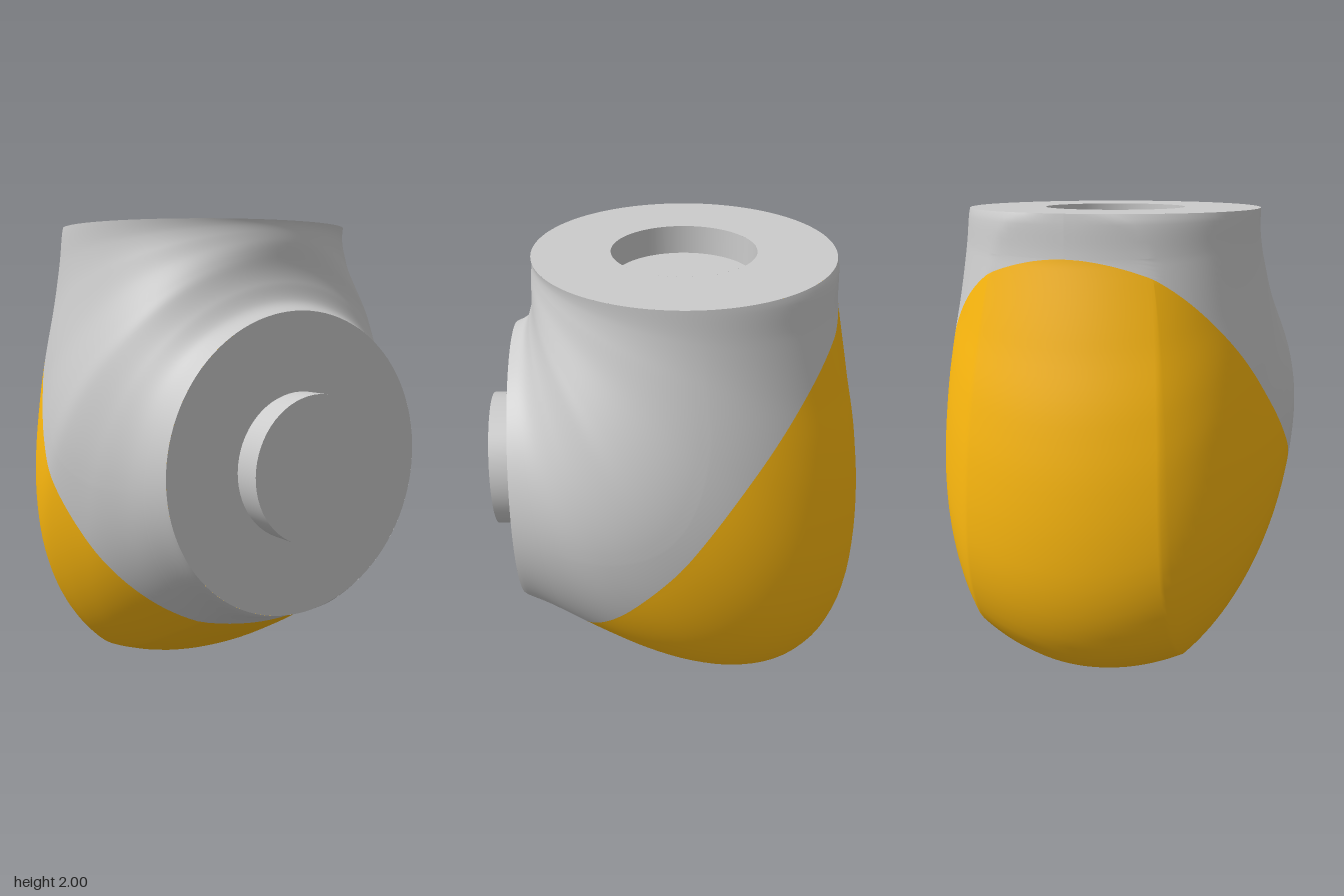
import * as THREE from 'three';

// Every cross-section lies in a plane turning about the x-parallel line y = PY, z = PZ,
// from the top opening (angle 0) to the front flange (angle 90 degrees).
const PY = 2, PZ = 0.7, END = Math.PI / 2;
const CAP = 0.61; // curvature of the back cap across its width

// Smooth curve through [t, value] keys
function curve(keys) {
  const slope = i => {
    const a = keys[Math.max(i - 1, 0)], b = keys[Math.min(i + 1, keys.length - 1)];
    return (b[1] - a[1]) / (b[0] - a[0]);
  };
  return t => {
    let i = 0;
    while (i < keys.length - 2 && t > keys[i + 1][0]) i++;
    const [t0, v0] = keys[i], [t1, v1] = keys[i + 1], h = t1 - t0, u = (t - t0) / h;
    const u2 = u * u, u3 = u2 * u;
    return (2 * u3 - 3 * u2 + 1) * v0 + (u3 - 2 * u2 + u) * h * slope(i)
      + (3 * u2 - 2 * u3) * v1 + (u3 - u2) * h * slope(i + 1);
  };
}
const polar = pts => curve(pts.map(([z, y]) => [Math.atan2(PY - y, PZ - z), Math.hypot(PY - y, PZ - z)]));
const degrees = keys => curve(keys.map(([d, v]) => [d * Math.PI / 180, v]));

// Side profile of the outer back and of the inner throat, as [z, y]
const outer = polar([[-0.645, 2], [-0.66, 1.8], [-0.72, 1.5], [-0.78, 1.2], [-0.81, 0.95], [-0.817, 0.75],
  [-0.8, 0.52], [-0.75, 0.34], [-0.66, 0.18], [-0.5, 0.05], [-0.3, 0.003], [-0.1, 0.03], [0.1, 0.105],
  [0.3, 0.21], [0.5, 0.33], [0.6, 0.385], [0.7, 0.42]]);
const inner = polar([[0.595, 2], [0.597, 1.93], [0.6, 1.87], [0.615, 1.76], [0.645, 1.685], [0.7, 1.65]]);
// Distance of the widest point, and the half width there
const middle = degrees([[0, 0.725], [20, 0.81], [35, 0.95], [50, 1.08], [60, 1.11], [70, 1.09], [80, 1.03], [90, 0.965]]);
const width = degrees([[0, 0.62], [10, 0.628], [20, 0.65], [35, 0.705], [50, 0.77], [58, 0.785], [70, 0.735], [80, 0.67], [90, 0.615]]);
// Slanted parting line between the two shells
const parting = a => 1.889 / (Math.sin(a) + 1.27 * Math.cos(a));

function bisect(f, lo, hi) { // f(lo) < 0 <= f(hi)
  for (let i = 0; i < 40; i++) {
    const m = (lo + hi) / 2;
    if (f(m) < 0) lo = m; else hi = m;
  }
  return hi;
}

// Half-section at angle a: half width as a function of distance r
function section(a) {
  const ri = inner(a), rm = middle(a), ro = outer(a), w = width(a);
  const depth = (ro - rm) * (1 + 0.09 * Math.sqrt(Math.max(0, Math.sin(2 * a))));
  const arc = (d, s) => w * Math.sqrt(Math.max(0, 1 - (d / s) ** 2));
  const side = r => arc(r - rm, depth);
  const cap = r => Math.sqrt(Math.max(0, ro - r) / CAP);
  const x = r => r < rm ? arc(rm - r, rm - ri) : Math.min(side(r), cap(r));
  const cut = Math.min(parting(a), ro);
  const crease = Math.max(cut, bisect(r => side(r) - cap(r), rm, ro));
  return { ri, rm, ro, cut, crease, x };
}

const N = 28;
const steps = f => Array.from({ length: N + 1 }, (_, i) => f(i / N));

// Front shell rows, from the parting line to the throat
function frontRows(s) {
  return [
    ...steps(t => s.rm + (s.cut - s.rm) * Math.cos(t * END)),
    ...steps(t => s.rm - (s.rm - s.ri) * Math.sin(t * END)).slice(1),
  ];
}
// Back shell rows, from the parting line over the crease to the spine
function backRows(s) {
  return [
    ...steps(t => s.cut + (s.crease - s.cut) * t),
    ...steps(t => s.crease + (s.ro - s.crease) * (1 - (1 - t) ** 2)).slice(1),
  ];
}

// Skin the mirrored sections; sign is the side on which each loop starts
function shell(angles, rowsOf, sign) {
  const pos = [], idx = [];
  let n = 0;
  for (const a of angles) {
    const s = section(a), rows = rowsOf(s).map(r => [s.x(r), r]);
    rows[rows.length - 1][0] = 0;
    const loop = [...rows, ...rows.slice(0, -1).reverse().map(([x, r]) => [-x, r])];
    n = loop.length;
    for (const [x, r] of loop) pos.push(sign * x, PY - r * Math.sin(a), PZ - r * Math.cos(a));
  }
  for (let i = 0; i < angles.length - 1; i++) {
    for (let j = 0; j < n - 1; j++) {
      const p = i * n + j, q = p + n;
      idx.push(p, p + 1, q, p + 1, q + 1, q);
    }
  }
  const g = new THREE.BufferGeometry();
  g.setAttribute('position', new THREE.Float32BufferAttribute(pos, 3));
  g.setIndex(idx);
  g.computeVertexNormals();
  return g;
}

export function createModel() {
  const group = new THREE.Group();
  const grey = new THREE.MeshStandardMaterial({ color: 0xcccccc, side: THREE.DoubleSide });
  const orange = new THREE.MeshStandardMaterial({ color: 0xfdb90f, side: THREE.DoubleSide });
  const add = (name, geometry, material = grey) => {
    const mesh = new THREE.Mesh(geometry, material);
    mesh.name = name;
    group.add(mesh);
  };

  // The back shell spans the angles where the parting line is inside the outline
  const start = bisect(a => outer(a) - parting(a), 0, 0.7);
  const stop = bisect(a => parting(a) - outer(a), 0.8, END);
  const spread = (a, b, n, ease) => Array.from({ length: n + 1 }, (_, i) => a + (b - a) * ease(i / n));
  const mid = spread(start, stop, 80, t => (1 - Math.cos(t * Math.PI)) / 2);
  const all = [
    ...spread(0, start, 8, t => t).slice(0, -1), ...mid,
    ...spread(stop, END, 14, t => t).slice(1),
  ];
  add('frontShell', shell(all, frontRows, 1));
  add('backShell', shell(mid, backRows, -1), orange);

  // Top rim with a shallow round socket
  const TZ = -0.025, HOLE = 0.298, DEPTH = 0.12;
  add('topRim', new THREE.RingGeometry(HOLE, 0.62, 96).rotateX(-END).translate(0, 2, TZ));
  add('socketWall', new THREE.CylinderGeometry(HOLE, HOLE, DEPTH, 64, 1, true).translate(0, 2 - DEPTH / 2, TZ));
  add('socketFloor', new THREE.CircleGeometry(HOLE, 64).rotateX(-END).translate(0, 2 - DEPTH, TZ));

  // Front flange with its round peg
  add('frontFlange', new THREE.CircleGeometry(0.615, 96).translate(0, 1.035, 0.7));
  add('frontPeg', new THREE.CylinderGeometry(HOLE, HOLE, 0.12, 64).rotateX(END).translate(0, 1.035, 0.76));
  return group;
}
